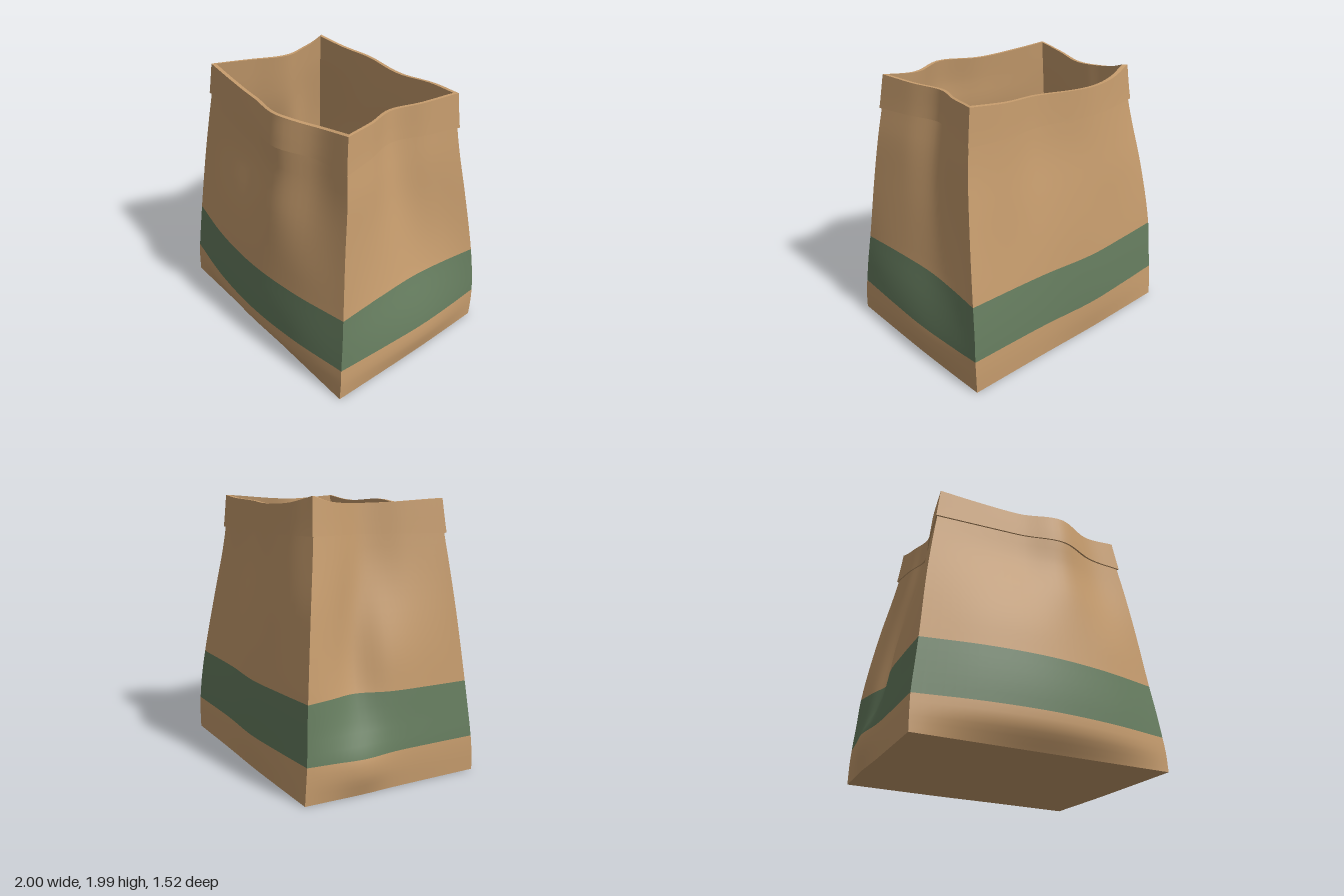
import * as THREE from 'three';

const paper = new THREE.MeshStandardMaterial({ color: 0xc69c6d });
paper.name = 'kraft paper';
const green = new THREE.MeshStandardMaterial({ color: 0x667d5f });
green.name = 'green band';

// Smooth curve through sorted keys [t, value, value, ...], sampled at one column
function sample(keys, t, k = 1) {
  let i = 0;
  while (i < keys.length - 2 && t > keys[i + 1][0]) i++;
  const slope = j => (keys[j + 1][k] - keys[j][k]) / (keys[j + 1][0] - keys[j][0]);
  const tangent = j => j === 0 ? slope(0) : j === keys.length - 1 ? slope(j - 1) : (slope(j - 1) + slope(j)) / 2;
  const h = keys[i + 1][0] - keys[i][0];
  const s = THREE.MathUtils.clamp((t - keys[i][0]) / h, 0, 1);
  const s2 = s * s, s3 = s2 * s;
  return (2 * s3 - 3 * s2 + 1) * keys[i][k] + (s3 - 2 * s2 + s) * h * tangent(i)
    + (3 * s2 - 2 * s3) * keys[i + 1][k] + (s3 - s2) * h * tangent(i + 1);
}

// Height, then x,z of the four corners (front -x, front +x, back +x, back -x),
// then the outward bulge of the front, +x, back and -x walls
const LEVELS = [
  [0, -0.97, 0.67, 0.985, 0.67, 0.94, -0.75, -0.95, -0.70, 0.0, 0.01, 0.01, 0.01],
  [0.15, -0.97, 0.665, 0.985, 0.66, 0.945, -0.75, -0.95, -0.69, 0.095, 0.035, 0.03, 0.045],
  [0.27, -0.965, 0.655, 0.975, 0.65, 0.945, -0.745, -0.945, -0.68, 0.11, 0.03, 0.04, 0.04],
  [0.45, -0.945, 0.64, 0.96, 0.63, 0.935, -0.73, -0.93, -0.67, 0.12, 0.0, 0.045, -0.03],
  [0.67, -0.92, 0.62, 0.935, 0.605, 0.92, -0.70, -0.915, -0.655, 0.12, -0.05, 0.05, -0.09],
  [1.2, -0.865, 0.56, 0.88, 0.55, 0.865, -0.61, -0.83, -0.59, 0.12, -0.12, 0.07, -0.13],
  [1.55, -0.815, 0.52, 0.84, 0.505, 0.82, -0.55, -0.755, -0.535, 0.11, -0.14, 0.08, -0.12],
  [1.73, -0.785, 0.5, 0.81, 0.485, 0.795, -0.53, -0.72, -0.51, 0.13, -0.145, 0.085, -0.11],
  [1.98, -0.75, 0.48, 0.78, 0.455, 0.765, -0.515, -0.685, -0.49, 0.125, -0.14, 0.085, -0.1],
];

// Bulge outline along each wall near the base and near the mouth, and the rim height
const WALLS = [
  { name: 'frontPanel', out: [0, 1],
    low: [[0, 0], [0.25, 0.72], [0.5, 1], [0.75, 0.72], [1, 0]],
    high: [[0, 0], [0.3, 0.35], [0.42, 0.5], [0.63, 1], [0.82, 0.15], [1, 0]],
    rim: [[0, 1.97], [0.17, 1.95], [0.4, 1.935], [0.65, 1.955], [0.8, 1.942], [1, 1.98]] },
  { name: 'rightGusset', out: [1, 0],
    low: [[0, 0], [0.3, 0.65], [0.57, 1], [0.8, 0.6], [1, 0]],
    high: [[0, 0], [0.25, 0.45], [0.5, 1], [0.75, 0.45], [1, 0]],
    rim: [[0, 1.98], [0.5, 1.955], [1, 1.985]] },
  { name: 'backPanel', out: [0, -1],
    low: [[0, 0], [0.35, 0.3], [0.6, 1], [0.8, 0.6], [1, 0]],
    high: [[0, 0], [0.18, 0.4], [0.37, 0.1], [0.68, 1], [0.85, 0.65], [1, 0]],
    rim: [[0, 1.985], [0.35, 1.95], [0.6, 1.935], [0.85, 1.945], [1, 1.99]] },
  { name: 'leftGusset', out: [-1, 0],
    low: [[0, 0], [0.15, 0.45], [0.31, 1], [0.5, 0.25], [0.75, 0.05], [1, 0]],
    high: [[0, 0], [0.2, 0.42], [0.39, 1], [0.7, 0.42], [1, 0]],
    rim: [[0, 1.99], [0.12, 1.955], [0.4, 1.94], [1, 1.97]] },
];

// Point on wall w at fraction u and height y, moved outwards by offset
function wallPoint(w, u, y, offset = 0) {
  const wall = WALLS[w];
  const corner = c => {
    const x = sample(LEVELS, y, 1 + c * 2), z = sample(LEVELS, y, 2 + c * 2);
    return [x + Math.sign(x) * offset, z + Math.sign(z) * offset];
  };
  const a = corner(w), b = corner((w + 1) % 4);
  const blend = THREE.MathUtils.smoothstep(y, 0.8, 1.65);
  const shape = THREE.MathUtils.lerp(sample(wall.low, u), sample(wall.high, u), blend);
  const bulge = sample(LEVELS, y, 9 + w) * shape;
  return [
    THREE.MathUtils.lerp(a[0], b[0], u) + wall.out[0] * bulge,
    y,
    THREE.MathUtils.lerp(a[1], b[1], u) + wall.out[1] * bulge,
  ];
}

// Sheet through rows of points; each row is a function of u, and
// materialOf(row) gives the index of the material for that row of faces
function sheet(name, rows, materialOf = () => 0) {
  const COLS = 28, positions = [], index = [];
  const geometry = new THREE.BufferGeometry();
  rows.forEach((row, r) => {
    for (let c = 0; c <= COLS; c++) positions.push(...row(c / COLS));
    if (r === 0) return;
    geometry.addGroup(index.length, COLS * 6, materialOf(r - 1));
    for (let c = 0; c < COLS; c++) {
      const a = (r - 1) * (COLS + 1) + c, d = a + COLS + 1;
      index.push(a, a + 1, d + 1, a, d + 1, d);
    }
  });
  geometry.setAttribute('position', new THREE.Float32BufferAttribute(positions, 3));
  geometry.setIndex(index);
  geometry.computeVertexNormals();
  const mesh = new THREE.Mesh(geometry, [paper, green]);
  mesh.name = name;
  return mesh;
}

export function createModel() {
  const bag = new THREE.Group();
  bag.name = 'paperBag';
  const HEM = 1.73, FOLD = 0.012, INSIDE = -0.014;
  const heights = [0, 0.03, 0.07, 0.11, 0.15, 0.2, 0.26, 0.34, 0.42, 0.5, 0.58, 0.67];
  for (let i = 1; i <= 14; i++) heights.push(0.67 + (HEM - 0.67) * i / 14);

  WALLS.forEach((wall, w) => {
    const at = (y, offset) => u => wallPoint(w, u, y, offset);
    // Fraction t of the way up from the hem line to the wavy rim
    const upper = (t, offset) => u =>
      wallPoint(w, u, THREE.MathUtils.lerp(HEM, sample(wall.rim, u), t), offset);
    const centre = y => () => [0, y, 0];
    const steps = [0, 0.25, 0.5, 0.75, 1];
    const side = new THREE.Group();
    side.name = wall.name;

    // Outer wall with its printed band
    side.add(sheet('outerWall', heights.map(y => at(y)),
      r => heights[r] >= 0.26 && heights[r] < 0.67 ? 1 : 0));

    // Folded hem around the mouth
    side.add(sheet('hemLip', [at(HEM), upper(0, FOLD)]));
    side.add(sheet('hem', steps.map(t => upper(t, FOLD))));
    side.add(sheet('rim', [upper(1, FOLD), upper(1, INSIDE)]));

    // Inner wall, from the rim down to the floor
    const down = heights.filter(y => y > 0.02 && y < HEM).reverse();
    side.add(sheet('innerWall', [
      ...steps.slice().reverse().map(t => upper(t, INSIDE)),
      ...down.map(y => at(y, INSIDE)),
      at(0.015, INSIDE),
    ]));

    // Quarter of the floor and of the underside
    side.add(sheet('floor', [at(0.015, INSIDE), centre(0.015)]));
    side.add(sheet('underside', [centre(0), at(0)]));
    bag.add(side);
  });

  return bag;
}
